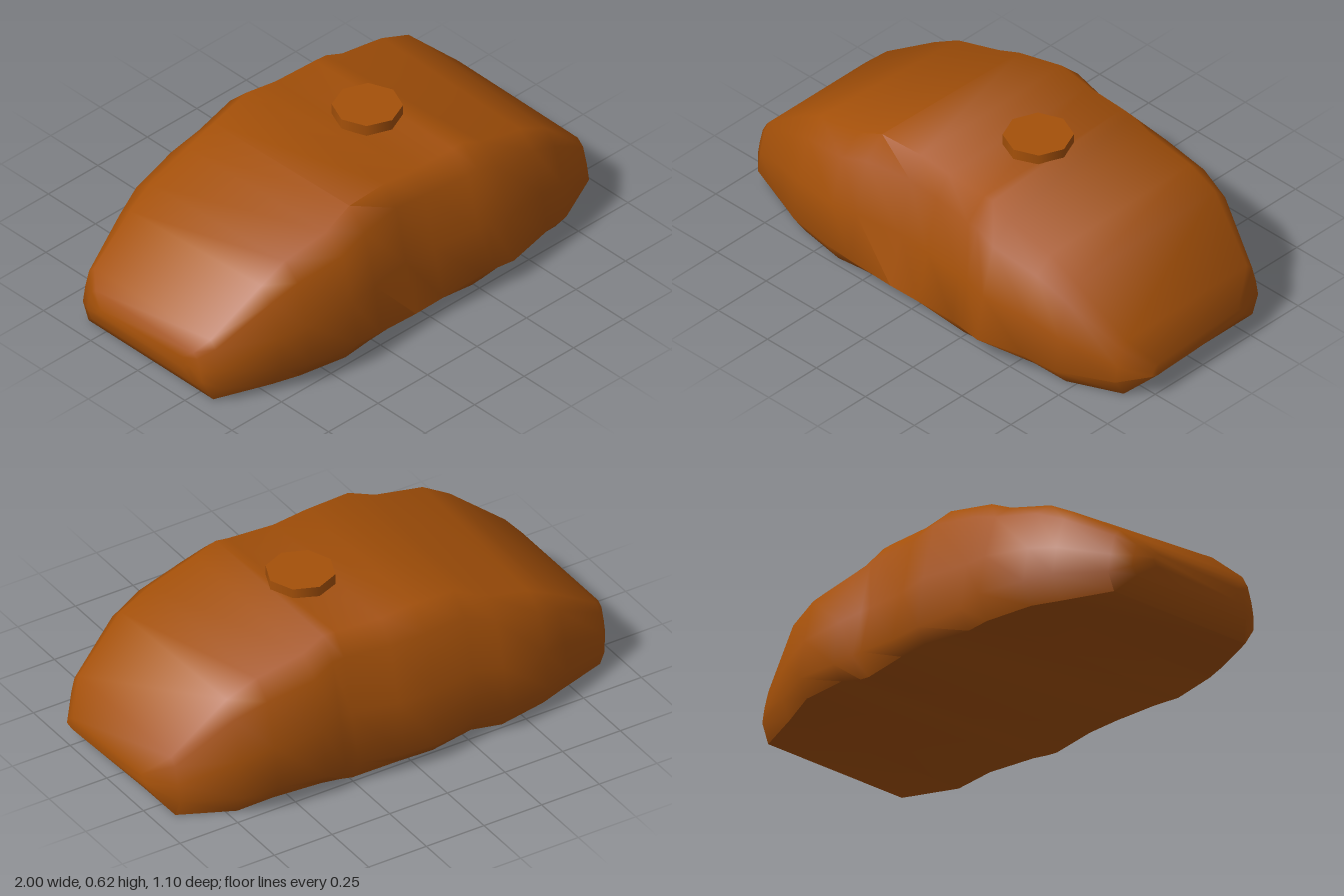
import * as THREE from 'three';
import { toCreasedNormals } from 'three/addons/utils/BufferGeometryUtils.js';

// Cross-sections along x: [x, bottom, lower edge, front side, back side],
// each side being [top, half width, waist factor for the shallow grooves]
const sections = [
  [-0.99, 0.12, 0.14, [0.17, 0.25, 1], [0.17, 0.22, 1]],
  [-0.97, 0.07, 0.10, [0.21, 0.31, 1], [0.21, 0.30, 1]],
  [-0.92, 0.0, 0.07, [0.265, 0.36, 1], [0.255, 0.375, 1]],
  [-0.71, 0.008, 0.105, [0.43, 0.46, 1], [0.39, 0.455, 1]],
  [-0.6, 0.012, 0.1, [0.493, 0.503, 1], [0.45, 0.5, 1]],
  [-0.4, 0.008, 0.105, [0.527, 0.538, 1], [0.505, 0.535, 1]],
  [-0.28, 0.016, 0.09, [0.582, 0.532, 1], [0.565, 0.512, 1]],
  [-0.09, 0.016, 0.07, [0.582, 0.52, 0.95], [0.592, 0.55, 1]],
  [0.05, 0.014, 0.07, [0.568, 0.518, 0.96], [0.574, 0.54, 0.97]],
  [0.24, 0.002, 0.09, [0.572, 0.533, 1], [0.578, 0.522, 0.96]],
  [0.29, 0.01, 0.088, [0.577, 0.538, 1], [0.577, 0.517, 0.97]],
  [0.38, 0.03, 0.085, [0.537, 0.548, 1], [0.535, 0.527, 1]],
  [0.58, 0.032, 0.1, [0.485, 0.515, 1], [0.5, 0.512, 1]],
  [0.71, 0.0, 0.075, [0.42, 0.478, 1], [0.45, 0.472, 1]],
  [0.92, 0.005, 0.08, [0.24, 0.378, 1], [0.245, 0.372, 1]],
  [0.99, 0.08, 0.09, [0.13, 0.27, 1], [0.13, 0.24, 1]],
];

// Half outline of a section, bottom to top, as [z, y]
function halfOutline(bottom, edge, [top, width, waist], end, footRatio) {
  const rise = top - edge;
  const topRatio = THREE.MathUtils.lerp(0.69, 0.85, end);
  const shoulder = THREE.MathUtils.lerp(0.845, 0.92, end);
  return [
    [width * footRatio, bottom],
    [width, edge],
    [width * waist * (0.36 * shoulder + 0.64), edge + rise * 0.4],
    [width * waist * shoulder, edge + rise * 0.84],
    [width * topRatio, top],
  ];
}

function bodyGeometry() {
  const positions = [];
  const index = [];
  const last = sections.length - 1;
  const n = 10;
  sections.forEach(([x, bottom, edge, front, back], i) => {
    const end = THREE.MathUtils.smoothstep(Math.abs(x), 0.45, 1);
    const outline = halfOutline(bottom, edge, front, end, 0.88);
    const rear = halfOutline(bottom, edge, back, end, 0.92).reverse();
    const ring = [...outline, ...rear.map(([z, y]) => [-z, y])];
    // The end faces are slightly slanted
    const slant = i === 0 || i === last ? 0.04 : 0;
    ring.forEach(([z, y]) => positions.push(x + slant * z, y, z));
  });
  for (let i = 0; i < last; i++) {
    for (let j = 0; j < n; j++) {
      const a = i * n + j;
      const b = i * n + (j + 1) % n;
      index.push(a, a + n, b, b, a + n, b + n);
    }
  }
  // End caps
  for (let j = 1; j < n - 1; j++) {
    index.push(0, j, j + 1);
    index.push(last * n, last * n + j + 1, last * n + j);
  }
  const geometry = new THREE.BufferGeometry();
  geometry.setAttribute('position', new THREE.Float32BufferAttribute(positions, 3));
  geometry.setIndex(index);
  return toCreasedNormals(geometry, 1.0);
}

export function createModel() {
  const group = new THREE.Group();
  const rust = new THREE.MeshStandardMaterial({ color: 0xa45009 });
  rust.name = 'rust orange';

  // Lumpy loaf-shaped body
  const body = new THREE.Mesh(bodyGeometry(), rust);
  body.name = 'body';
  group.add(body);

  // Octagonal stub on top
  const stub = new THREE.Mesh(new THREE.CylinderGeometry(0.131, 0.131, 0.1, 8), rust);
  stub.name = 'topStub';
  stub.position.set(0.16, 0.565, 0);
  group.add(stub);

  return group;
}
